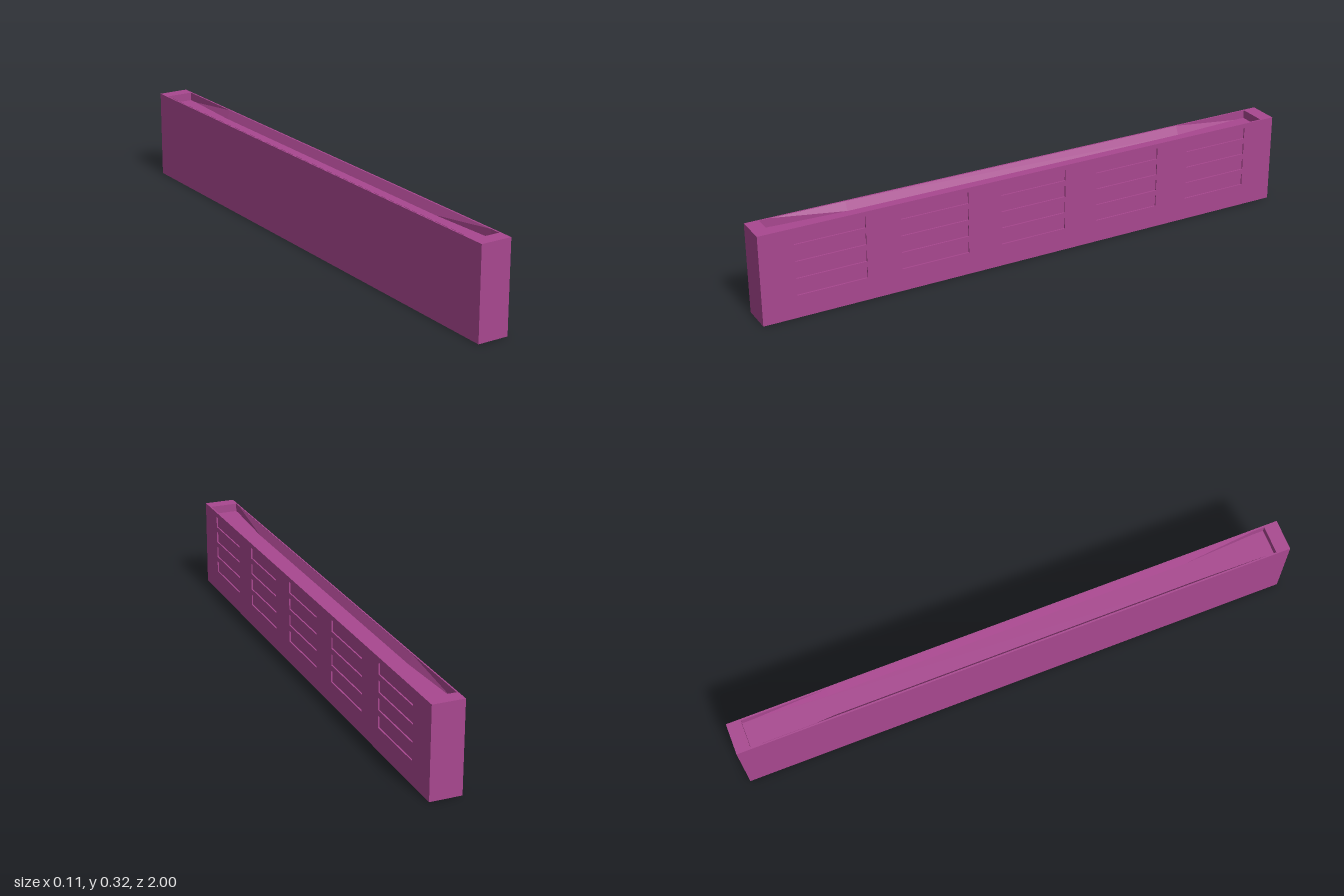
import * as THREE from 'three';

const W = 0.112, H = 0.322, L = 2;    // overall size
const SKIN = 0.005;                   // side wall thickness and slot depth
const FLOOR = H - 0.03;               // height of the sunken top
const END = 0.05;                     // length of the raised end blocks

export function createModel() {
  const group = new THREE.Group();
  const material = new THREE.MeshStandardMaterial({ color: 0xa8478f, flatShading: true, side: THREE.DoubleSide });

  const add = (name, geometry) => {
    const mesh = new THREE.Mesh(geometry, material);
    mesh.name = name;
    group.add(mesh);
    return mesh;
  };
  const box = (name, x0, x1, y0, y1, z0, z1) =>
    add(name, new THREE.BoxGeometry(x1 - x0, y1 - y0, z1 - z0))
      .position.set((x0 + x1) / 2, (y0 + y1) / 2, (z0 + z1) / 2);

  // Solid core, raised ends and the plain side wall
  const inner = W / 2 - SKIN;
  box('core', -W / 2, inner, 0, FLOOR, -L / 2, L / 2);
  box('frontEndBlock', -W / 2, inner, FLOOR, H, L / 2 - END, L / 2);
  box('backEndBlock', -W / 2, inner, FLOOR, H, -L / 2, -L / 2 + END);
  box('plainWall', -W / 2, -inner, FLOOR, H, -L / 2 + END, L / 2 - END);
  box('slotBacking', inner - 0.001, inner, FLOOR, H, -L / 2 + END, L / 2 - END);

  // Slotted side panel: five columns of four shallow slots
  const panel = new THREE.Shape([
    new THREE.Vector2(-L / 2, 0), new THREE.Vector2(L / 2, 0),
    new THREE.Vector2(L / 2, H), new THREE.Vector2(-L / 2, H),
  ]);
  for (let col = -2; col <= 2; col++) {
    for (let row = 0; row < 4; row++) {
      const z = col * 0.376, y = 0.081 + row * 0.061, half = 0.125, h = 0.041;
      panel.holes.push(new THREE.Path([
        new THREE.Vector2(z - half, y), new THREE.Vector2(z - half, y + h),
        new THREE.Vector2(z + half, y + h), new THREE.Vector2(z + half, y),
      ]));
    }
  }
  const panelGeometry = new THREE.ExtrudeGeometry(panel, { depth: SKIN, bevelEnabled: false });
  panelGeometry.rotateY(Math.PI / 2).translate(inner, 0, 0);
  add('slottedPanel', panelGeometry);

  // Steep slopes inside the recess, tapering away towards the ends
  const stations = [[-0.91, 0], [-0.65, 0.014], [0.65, 0.014], [0.91, 0]];
  for (const side of [-1, 1]) {
    const points = [], index = [];
    stations.forEach(([z, width], i) => {
      const x = inner - 0.001;
      points.push(side * x, H, z, side * (x - width), FLOOR, z);
      if (i < stations.length - 1) {
        const a = i * 2;
        if (side > 0) index.push(a, a + 1, a + 2, a + 1, a + 3, a + 2);
        else index.push(a, a + 2, a + 1, a + 1, a + 2, a + 3);
      }
    });
    const slope = new THREE.BufferGeometry();
    slope.setAttribute('position', new THREE.Float32BufferAttribute(points, 3));
    slope.setIndex(index);
    slope.computeVertexNormals();
    add(side > 0 ? 'leftInnerSlope' : 'rightInnerSlope', slope);
  }

  return group;
}
